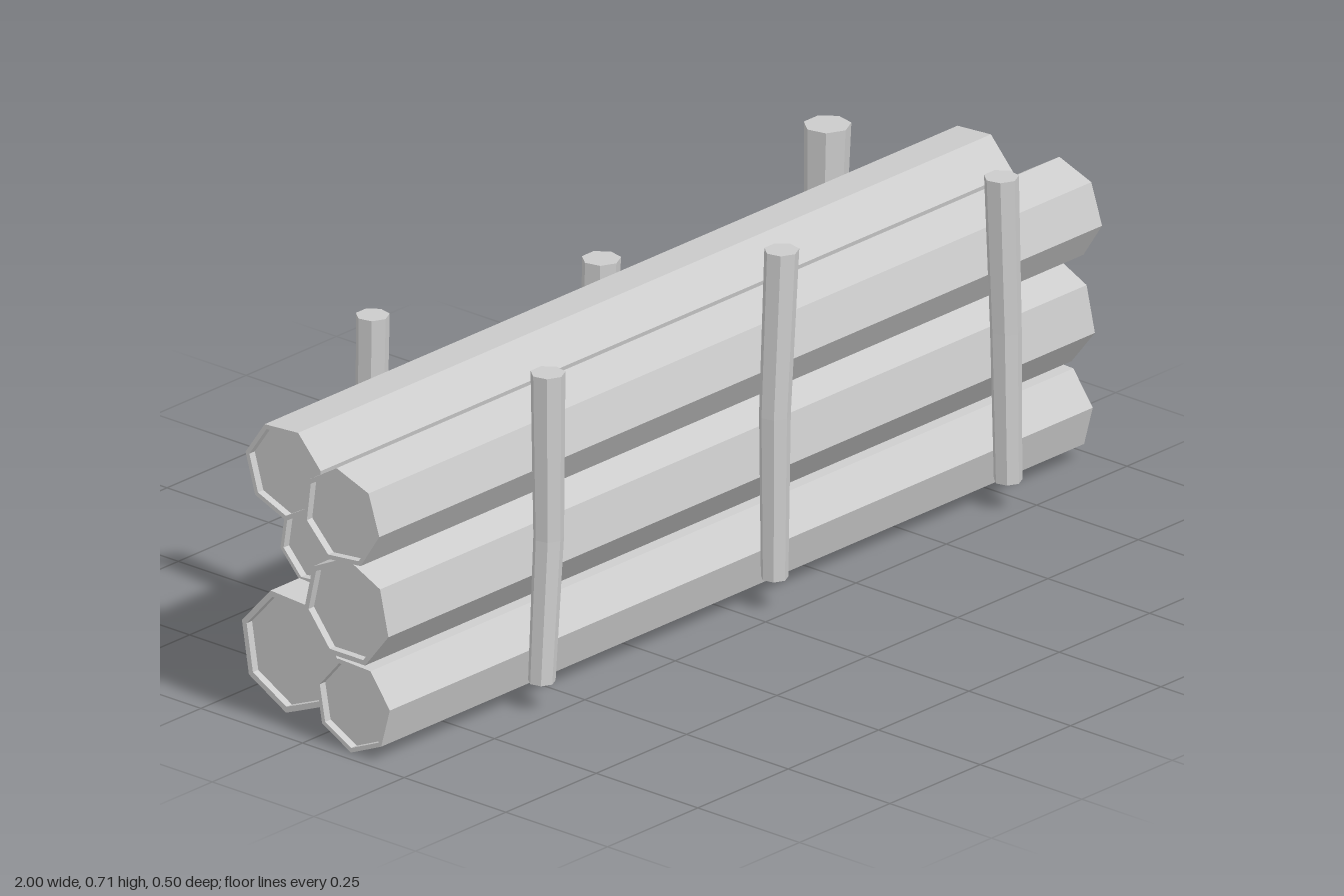
import * as THREE from 'three';

const material = new THREE.MeshStandardMaterial({ color: 0xcccccc, flatShading: true });
const SIDES = 7;

// Seven-sided log along x, with a thin raised bark rim around each sunken end
function makeLog(z, y, radius, xMin, xMax, degrees) {
  const h = (xMax - xMin) / 2;
  const inner = radius * 0.9;
  const recess = 0.015;
  const profile = [
    [0, -h + recess], [inner, -h + recess], [inner, -h], [radius, -h],
    [radius, h], [inner, h], [inner, h - recess], [0, h - recess],
  ].map(([r, v]) => new THREE.Vector2(r, v));
  const geometry = new THREE.LatheGeometry(profile, SIDES);
  geometry.rotateZ(-Math.PI / 2);
  geometry.rotateX(-THREE.MathUtils.degToRad(degrees)); // turns one corner to the given angle
  const log = new THREE.Mesh(geometry, material);
  log.position.set((xMin + xMax) / 2, y, z);
  return log;
}

// Slightly bent stake through three rings [x, y, z, radius], bottom to top
function makeStake(rings) {
  const geometry = new THREE.CylinderGeometry(1, 1, 2, SIDES, 2);
  const p = geometry.attributes.position;
  for (let i = 0; i < p.count; i++) {
    const [x, y, z, r] = rings[Math.round(p.getY(i)) + 1];
    p.setXYZ(i, x + p.getX(i) * r, y, z + p.getZ(i) * r);
  }
  geometry.computeVertexNormals();
  return new THREE.Mesh(geometry, material);
}

export function createModel() {
  const model = new THREE.Group();
  model.name = 'logStack';

  // Two columns of three logs: z, y, radius, x ends, corner angle
  const logs = {
    frontBottomLog: [0.101, 0.096, 0.093, -0.975, 0.97, -92.4],
    frontMiddleLog: [0.09, 0.284, 0.106, -0.98, 0.975, 90],
    frontTopLog: [0.093, 0.477, 0.0965, -1, 1, 95.5],
    backBottomLog: [-0.073, 0.148, 0.121, -0.955, 0.955, -93.5],
    backMiddleLog: [-0.088, 0.331, 0.081, -0.875, 0.875, 94],
    backTopLog: [-0.082, 0.507, 0.095, -0.96, 0.957, 68],
  };
  for (const [name, spec] of Object.entries(logs)) {
    const log = makeLog(...spec);
    log.name = name;
    model.add(log);
  }

  // Three stakes on each side hold the stack
  const stakes = {
    frontRightStake: [[-0.588, 0.06, 0.222, 0.026], [-0.568, 0.34, 0.221, 0.029], [-0.57, 0.668, 0.221, 0.033]],
    frontMiddleStake: [[0.056, 0.067, 0.222, 0.026], [0.058, 0.39, 0.221, 0.03], [0.077, 0.712, 0.221, 0.033]],
    frontLeftStake: [[0.702, 0.06, 0.222, 0.027], [0.697, 0.36, 0.221, 0.03], [0.687, 0.668, 0.219, 0.033]],
    backRightStake: [[-0.59, 0.04, -0.2, 0.026], [-0.572, 0.34, -0.213, 0.029], [-0.571, 0.665, -0.209, 0.032]],
    backMiddleStake: [[0.055, 0.045, -0.2, 0.026], [0.053, 0.31, -0.212, 0.031], [0.064, 0.58, -0.211, 0.037]],
    backLeftStake: [[0.684, 0.035, -0.195, 0.026], [0.682, 0.337, -0.213, 0.037], [0.686, 0.655, -0.208, 0.045]],
  };
  for (const [name, rings] of Object.entries(stakes)) {
    const stake = makeStake(rings);
    stake.name = name;
    model.add(stake);
  }
  return model;
}
